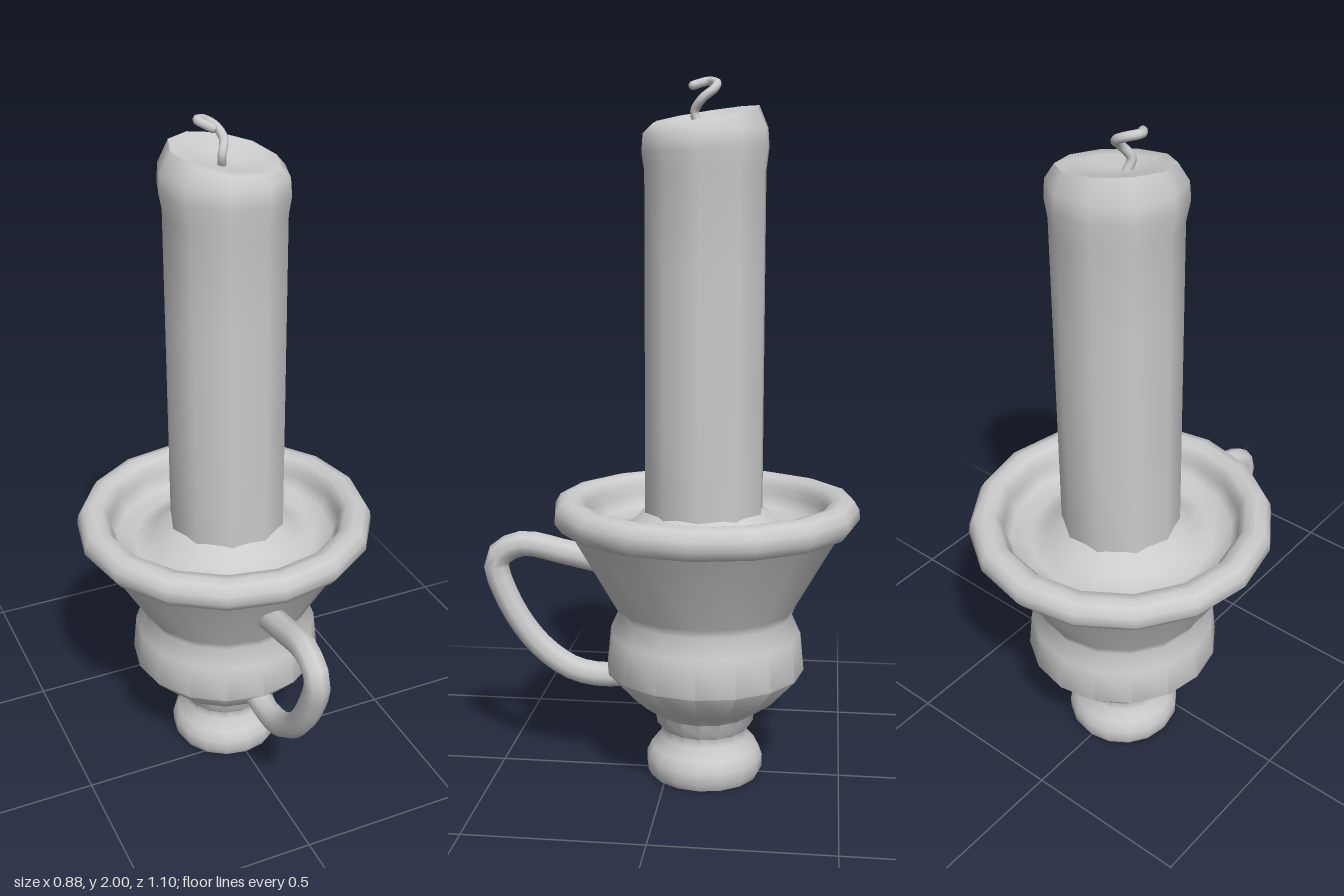
import * as THREE from 'three';
import { mergeVertices, toCreasedNormals } from 'three/addons/utils/BufferGeometryUtils.js';

const AXIS_Z = -0.105;
const material = new THREE.MeshStandardMaterial({ color: 0xcccccc, side: THREE.DoubleSide });

function addMesh(group, name, geometry) {
  const mesh = new THREE.Mesh(geometry, material);
  mesh.name = name;
  group.add(mesh);
  return mesh;
}

// Surface of revolution with welded seam; reshape may move each vertex
function turned(profile, sides, phiStart, crease, reshape) {
  const points = profile.map(([r, y]) => new THREE.Vector2(r, y));
  let geometry = new THREE.LatheGeometry(points, sides, phiStart);
  geometry.deleteAttribute('uv');
  geometry.deleteAttribute('normal');
  if (reshape) {
    const p = geometry.attributes.position;
    const v = new THREE.Vector3();
    for (let i = 0; i < p.count; i++) {
      reshape(v.fromBufferAttribute(p, i));
      p.setXYZ(i, v.x, v.y, v.z);
    }
  }
  geometry = mergeVertices(geometry, 1e-4);
  geometry.computeVertexNormals();
  return crease ? toCreasedNormals(geometry, crease) : geometry;
}

// Round tube along a smooth path, closed by shallow domes at both ends
function cappedTube(group, name, path, radius, segments, sides) {
  const curve = new THREE.CatmullRomCurve3(path.map((p) => new THREE.Vector3(...p)));
  const part = new THREE.Group();
  part.name = name;
  addMesh(part, name + 'Tube', new THREE.TubeGeometry(curve, segments, radius, sides));
  [0, 1].forEach((t) => {
    const cap = addMesh(part, name + 'End', new THREE.SphereGeometry(radius * 0.98, sides, 6));
    cap.position.copy(curve.getPoint(t));
  });
  group.add(part);
}

export function createModel() {
  const model = new THREE.Group();
  model.name = 'candleInHolder';

  // Holder: foot, neck, rounded bowl, flared cup, rolled rim and inner dish
  const holder = addMesh(model, 'holder', turned([
    [0, 0], [0.16, 0], [0.17, 0.02], [0.17, 0.055], [0.155, 0.085],
    [0.128, 0.115], [0.125, 0.14], [0.143, 0.16], [0.145, 0.19],
    [0.21, 0.235], [0.288, 0.32], [0.277, 0.43], [0.252, 0.485],
    [0.262, 0.51], [0.395, 0.742],
    [0.42, 0.745], [0.44, 0.772], [0.437, 0.8], [0.422, 0.825], [0.395, 0.832],
    [0.365, 0.825], [0.345, 0.8], [0.345, 0.775],
    [0.325, 0.74], [0.27, 0.725], [0.215, 0.745], [0.18, 0.785], [0.15, 0.8],
  ], 16, 0, 0.9));
  holder.position.z = AXIS_Z;

  // Candle: ten-sided shaft with a tilted, slightly hollow melted top
  const candle = addMesh(model, 'candle', turned([
    [0.172, 0.72], [0.172, 1.1], [0.172, 1.45], [0.172, 1.74],
    [0.18, 1.8], [0.176, 1.85], [0.15, 1.893], [0.11, 1.888], [0.05, 1.873], [0, 1.87],
  ], 10, Math.PI / 2, 0.95, (v) => {
    if (v.y < 1.75) return;
    const r = Math.hypot(v.x, v.z);
    // the rim rises towards the back on one side and sags opposite
    const tilt = -(v.x + v.z) * 0.14;
    v.y += tilt * (v.y > 1.86 ? 1 : 0.3);
    if (r > 0.16 && v.x < 0) v.x *= 1.03;
  }));
  candle.position.set(0.005, 0, AXIS_Z + 0.003);

  // Curled wick
  cappedTube(model, 'wick', [
    [-0.01, 1.86, -0.085], [-0.016, 1.9, -0.068], [-0.002, 1.935, -0.09],
    [-0.012, 1.962, -0.122], [-0.042, 1.98, -0.127],
    [-0.07, 1.987, -0.1], [-0.045, 1.974, -0.06],
  ], 0.0125, 28, 8);

  // Ear-shaped carrying handle at the front
  cappedTube(model, 'handle', [
    [0, 0.62, 0.17], [0, 0.648, 0.3], [0, 0.67, 0.44], [0, 0.622, 0.511],
    [0, 0.51, 0.483], [0, 0.375, 0.395], [0, 0.298, 0.29],
    [0, 0.28, 0.2], [0, 0.285, 0.14],
  ], 0.038, 24, 8);

  return model;
}
